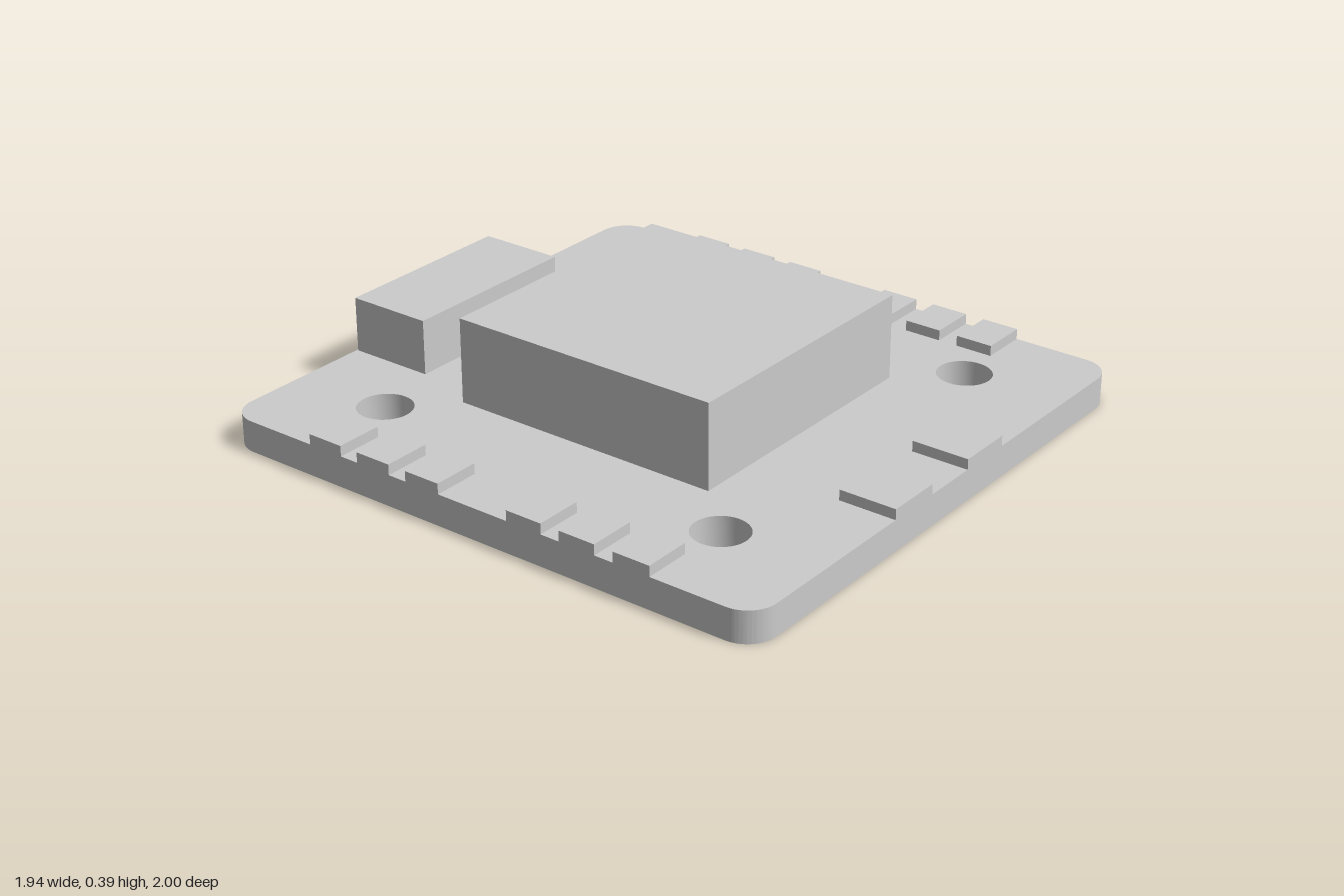
import * as THREE from 'three';
import { toCreasedNormals } from 'three/addons/utils/BufferGeometryUtils.js';

const W = 0.968, D = 1, R = 0.1; // board half sizes and corner radius
const TOP = 0.105; // board thickness

export function createModel() {
  const model = new THREE.Group();
  const material = new THREE.MeshStandardMaterial({ color: 0xcccccc });

  const add = (name, geometry) => {
    const mesh = new THREE.Mesh(geometry, material);
    mesh.name = name;
    model.add(mesh);
    return mesh;
  };

  // Block standing on the board, given its extents
  const block = (name, x0, x1, z0, z1, top) => {
    const h = top - TOP;
    add(name, new THREE.BoxGeometry(x1 - x0, h, z1 - z0))
      .position.set((x0 + x1) / 2, TOP + h / 2, (z0 + z1) / 2);
  };

  // Circuit board: rounded rectangle with four mounting holes
  const outline = new THREE.Shape();
  outline.absarc(W - R, D - R, R, 0, Math.PI / 2);
  outline.absarc(-W + R, D - R, R, Math.PI / 2, Math.PI);
  outline.absarc(-W + R, -D + R, R, Math.PI, Math.PI * 1.5);
  outline.absarc(W - R, -D + R, R, Math.PI * 1.5, Math.PI * 2);
  outline.closePath();
  for (const x of [-0.645, 0.645]) {
    for (const z of [-0.645, 0.645]) {
      outline.holes.push(new THREE.Path().absarc(x, z, 0.09, 0, Math.PI * 2, true));
    }
  }
  const board = new THREE.ExtrudeGeometry(outline, { depth: TOP, bevelEnabled: false, curveSegments: 20 });
  board.rotateX(-Math.PI / 2);
  add('board', toCreasedNormals(board, 0.6));

  // Central chip and rear connector
  block('chip', -0.476, 0.474, -0.476, 0.474, 0.39);
  block('rearConnector', -0.4, 0.243, -0.995, -0.703, 0.29);

  // Solder pads along both sides
  for (const z of [-0.585, -0.391, -0.197, 0.191, 0.385, 0.579]) {
    block('leftPad', 0.805, W, z - 0.064, z + 0.064, 0.14);
    block('rightPad', -W, -0.808, z - 0.064, z + 0.064, 0.14);
  }

  // Solder pads on the front edge
  for (const x of [-0.195, 0.19]) block('frontPad', x - 0.096, x + 0.096, 0.806, D, 0.14);

  return model;
}
